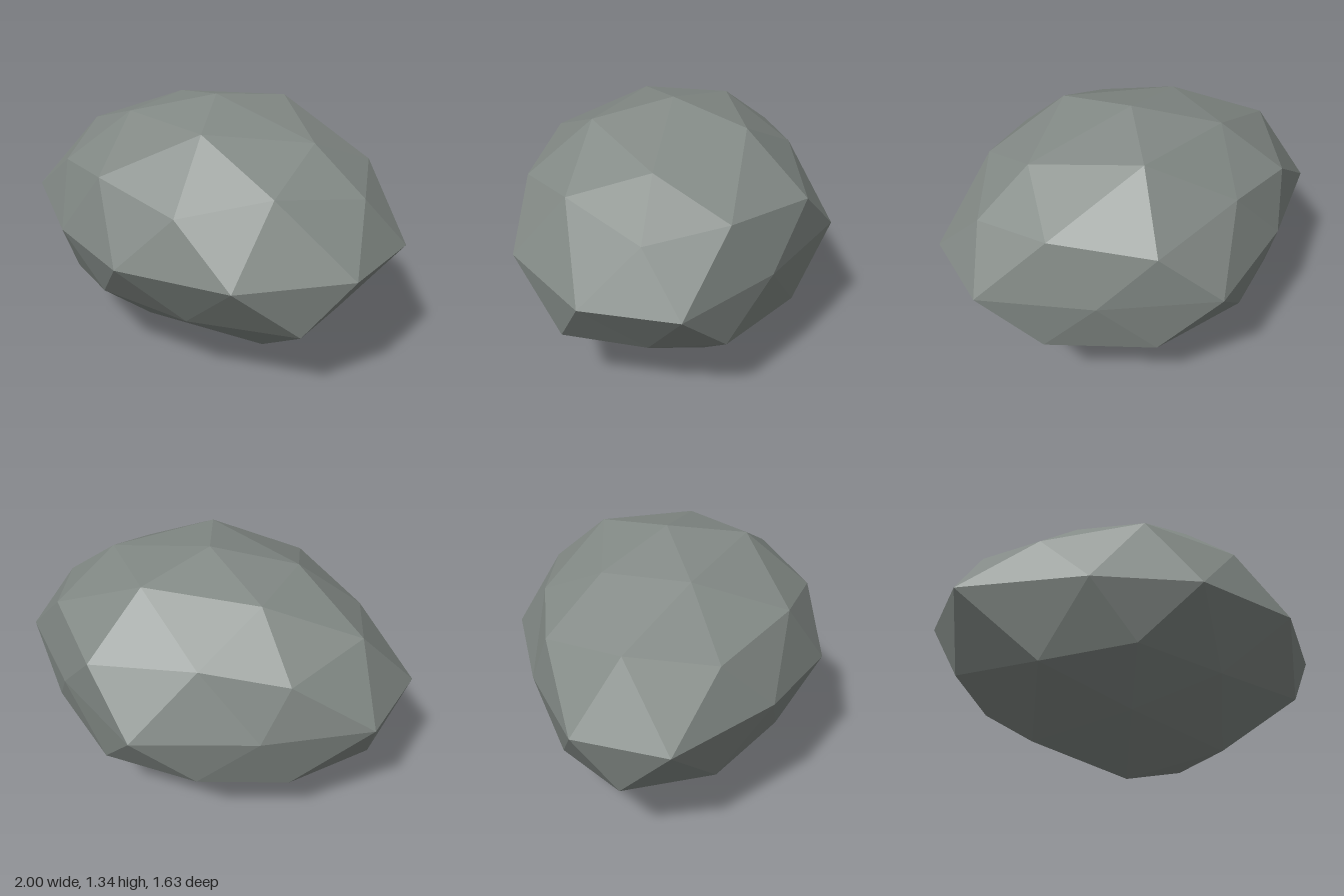
import * as THREE from 'three';

// Boulder as stacked rings of [x, y, z] points; angles run from +x towards +z.
const top = [0.015, 1.34, 0];
const upperCap = [[0.58, 1.2, 0], [0.19, 1.27, 0.37], [-0.37, 1.235, 0.21], [-0.37, 1.235, -0.22], [0.18, 1.27, -0.38]];
const shoulder = [
  [0.86, 0.985, 0], [0.61, 1.06, 0.4], [0.27, 0.985, 0.69], [-0.2, 1.06, 0.65], [-0.64, 0.975, 0.41],
  [-0.8, 1.06, 0], [-0.62, 0.99, -0.42], [-0.22, 1.04, -0.57], [0.3, 0.985, -0.69], [0.69, 1.03, -0.37],
];
const waist = [
  [0.98, 0.27], [0.58, 0.69], [0.015, 0.815], [-0.48, 0.64], [-1, 0.27],
  [-0.97, -0.2], [-0.53, -0.54], [0.015, -0.82], [0.55, -0.56], [1, -0.2],
].map(([x, z]) => [x, 0.705, z]);
const belly = [
  [0.75, 0.36, 0], [0.78, 0.41, 0.41], [0.24, 0.39, 0.57], [-0.23, 0.43, 0.625], [-0.62, 0.355, 0.4],
  [-0.89, 0.39, 0], [-0.62, 0.36, -0.37], [-0.24, 0.42, -0.63], [0.27, 0.39, -0.65], [0.74, 0.42, -0.37],
];
const lowerCap = [[0.45, 0.145, 0.21], [-0.14, 0.21, 0.38], [-0.49, 0.12, 0], [-0.14, 0.19, -0.31], [0.44, 0.15, -0.22]];
const bottom = [0.015, 0, 0];

export function createModel() {
  const group = new THREE.Group();
  group.name = 'boulder';
  const positions = [];
  const centre = new THREE.Vector3(0, 0.7, 0);

  // Adds one facet, turned so that it faces away from the centre
  const facet = (...points) => {
    const [a, b, c] = points.map((p) => new THREE.Vector3(...p));
    const normal = b.clone().sub(a).cross(c.clone().sub(a));
    const middle = a.clone().add(b).add(c).divideScalar(3).sub(centre);
    const ordered = normal.dot(middle) < 0 ? [a, c, b] : [a, b, c];
    ordered.forEach((p) => positions.push(p.x, p.y, p.z));
  };

  // Closes a ten-point ring with a five-point cap and a tip; the cap sits over every other ring point
  const close = (tip, cap, ring, offset) => {
    for (let k = 0; k < 5; k++) {
      const next = cap[(k + 1) % 5];
      const at = (i) => ring[(2 * k + offset + i + 10) % 10];
      facet(tip, cap[k], next);
      facet(cap[k], next, at(1));
      facet(cap[k], at(0), at(1));
      facet(cap[k], at(-1), at(0));
    }
  };

  // Joins a ten-point ring to the waist, which is turned by half a step
  const band = (ring) => {
    for (let j = 0; j < 10; j++) {
      facet(ring[j], ring[(j + 1) % 10], waist[j]);
      facet(ring[j], waist[(j + 9) % 10], waist[j]);
    }
  };

  close(top, upperCap, shoulder, 0);
  band(shoulder);
  band(belly);
  close(bottom, lowerCap, belly, 1);

  const geometry = new THREE.BufferGeometry();
  geometry.setAttribute('position', new THREE.Float32BufferAttribute(positions, 3));
  geometry.computeVertexNormals();

  const stone = new THREE.MeshStandardMaterial({ color: 0x838a86, flatShading: true });
  stone.name = 'grey stone';
  const rock = new THREE.Mesh(geometry, stone);
  rock.name = 'rock';
  group.add(rock);
  return group;
}
